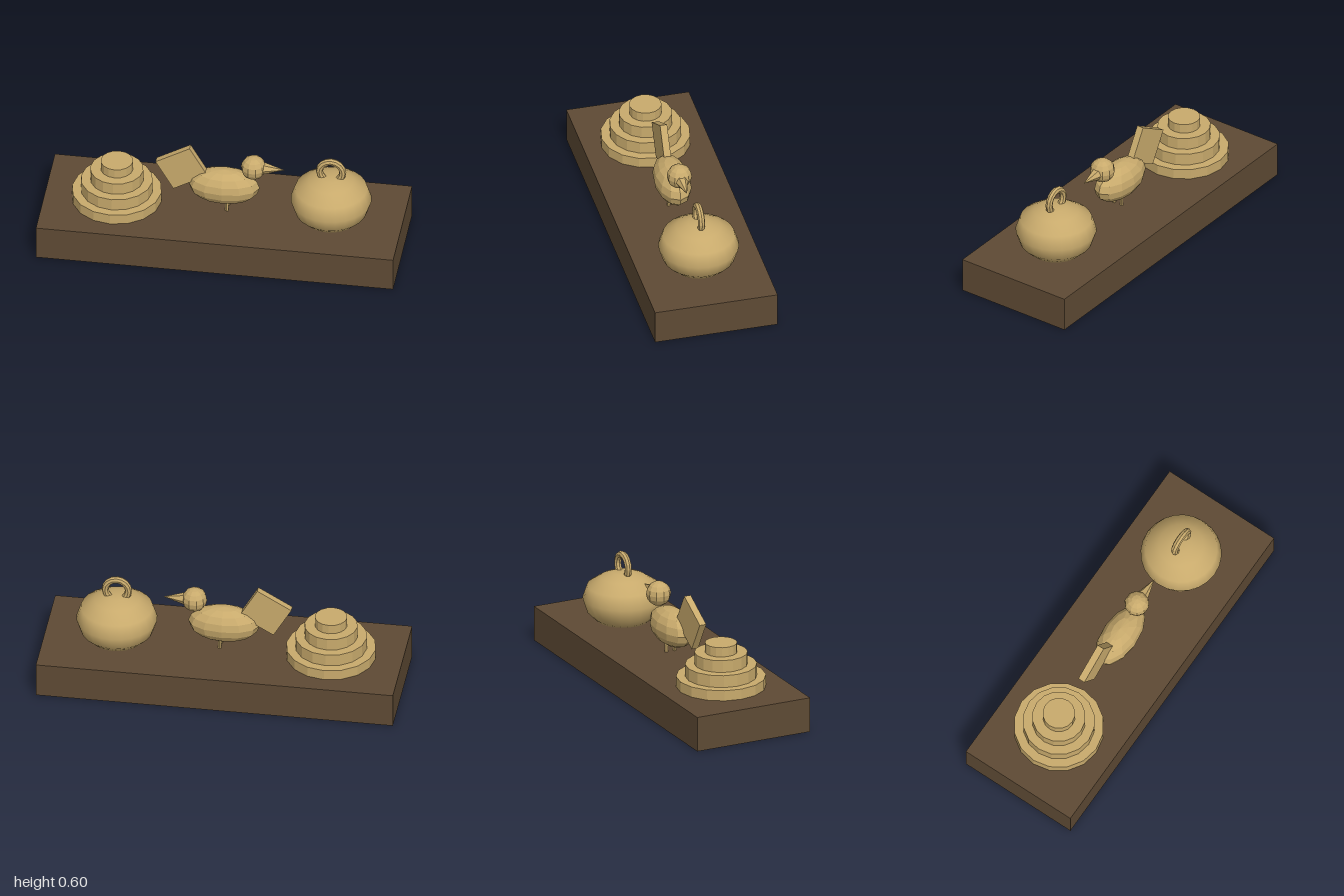
import * as THREE from 'three';

export function createModel() {
  const model = new THREE.Group();
  const wood = new THREE.MeshStandardMaterial({ color: 0x5e4a34 });
  wood.name = 'dark wood';
  const gold = new THREE.MeshStandardMaterial({ color: 0xc8aa6c });
  gold.name = 'pale gold';

  const add = (parent, name, geometry, material, x, y, z = 0) => {
    const mesh = new THREE.Mesh(geometry, material);
    mesh.name = name;
    mesh.position.set(x, y, z);
    parent.add(mesh);
    return mesh;
  };
  const group = (name, x) => {
    const g = new THREE.Group();
    g.name = name;
    g.position.x = x;
    model.add(g);
    return g;
  };
  // Faceted surface: unshared vertices with face normals
  const faceted = (geometry) => {
    const g = geometry.toNonIndexed();
    g.computeVertexNormals();
    return g;
  };

  // Plinth
  add(model, 'base', new THREE.BoxGeometry(2, 0.2, 0.7), wood, 0, 0.1);

  // Stepped round tower
  const tower = group('steppedTower', -0.6);
  [[0.25, 0.2, 0.26], [0.2, 0.26, 0.33], [0.148, 0.33, 0.4], [0.09, 0.4, 0.455]].forEach(([r, y0, y1], i) => {
    add(tower, 'tier' + (i + 1), faceted(new THREE.CylinderGeometry(r, r, y1 - y0, 16)), gold, 0, (y0 + y1) / 2);
  });

  // Bird
  const bird = group('bird', 0);
  const body = new THREE.SphereGeometry(0.1, 12, 8).scale(2, 1.08, 1);
  add(bird, 'body', faceted(body), gold, 0, 0.352);
  add(bird, 'head', faceted(new THREE.SphereGeometry(0.07, 10, 8)), gold, 0.165, 0.493);
  const beak = new THREE.ConeGeometry(0.035, 0.12, 6).rotateZ(-Math.PI / 2);
  add(bird, 'beak', faceted(beak), gold, 0.28, 0.492);
  const tail = add(bird, 'tail', new THREE.BoxGeometry(0.22, 0.2, 0.04), gold, -0.235, 0.453);
  tail.rotation.z = Math.PI / 6;
  for (const side of [-1, 1]) {
    add(bird, side > 0 ? 'frontLeg' : 'backLeg',
      faceted(new THREE.CylinderGeometry(0.01, 0.01, 0.1, 6)), gold, 0.02, 0.25, side * 0.025);
  }

  // Round pot with ring handle
  const pot = group('pot', 0.6);
  const profile = [[0, 0.201], [0.15, 0.201], [0.2, 0.25], [0.225, 0.326], [0.2, 0.4], [0.125, 0.45], [0.058, 0.477], [0, 0.477]]
    .map(([r, y]) => new THREE.Vector2(r, y));
  add(pot, 'potBody', new THREE.LatheGeometry(profile, 24), gold, 0, 0);
  add(pot, 'handle', faceted(new THREE.TorusGeometry(0.065, 0.02, 8, 16)), gold, 0, 0.512);

  return model;
}
